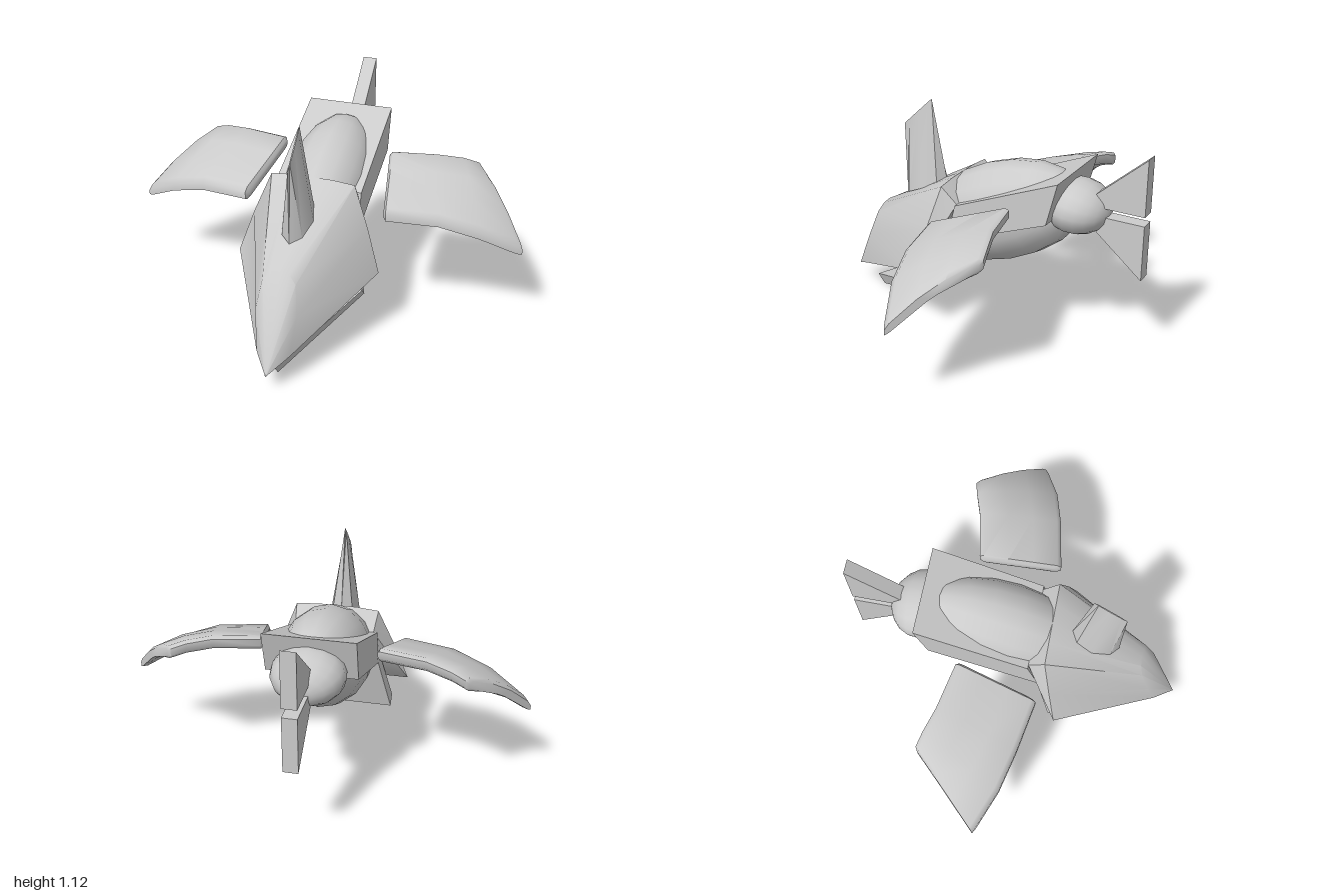
import * as THREE from 'three';
import { toCreasedNormals } from 'three/addons/utils/BufferGeometryUtils.js';

const material = new THREE.MeshStandardMaterial({ color: 0xcccccc });

// Skin a row of closed rings of [x, y, z] points and cap both ends.
function loft(name, rings, crease = 0.3) {
  const pos = [];
  const n = rings[0].length;
  const tri = (...pts) => pts.forEach((p) => pos.push(...p));
  const middle = (ring) => [0, 1, 2].map((k) => ring.reduce((s, p) => s + p[k], 0) / n);
  const first = rings[0], last = rings[rings.length - 1];
  const c0 = middle(first), c1 = middle(last);
  for (let j = 0; j < n; j++) {
    const k = (j + 1) % n;
    for (let i = 0; i < rings.length - 1; i++) {
      const a = rings[i], b = rings[i + 1];
      tri(a[j], a[k], b[k]);
      tri(a[j], b[k], b[j]);
    }
    tri(c0, first[k], first[j]);
    tri(c1, last[j], last[k]);
  }
  const g = new THREE.BufferGeometry();
  g.setAttribute('position', new THREE.Float32BufferAttribute(pos, 3));
  const mesh = new THREE.Mesh(toCreasedNormals(g, crease), material);
  mesh.name = name;
  return mesh;
}

// Plate with a [z, y] side outline and half width w.
const prism = (name, outline, w) =>
  loft(name, [-w, w].map((x) => outline.map(([z, y]) => [x, y, z])));

// Mirror half a ring (+x side, bottom to centre) into a full one.
const fullRing = (half) =>
  [...half.map(([x, y, z]) => [-x, y, z]), ...half.slice(0, -1).reverse()];

function ellipsoid(name, [rx, ry, rz], [y, z], tilt) {
  const g = new THREE.SphereGeometry(1, 16, 10).rotateX(Math.PI / 2).scale(rx, ry, rz);
  const mesh = new THREE.Mesh(g, material);
  mesh.position.set(0, y, z);
  mesh.rotation.x = tilt;
  mesh.name = name;
  return mesh;
}

// Wing: front and rear edge points per station, rounded section between them.
function wing(name, side) {
  const stations = [
    [[0.345, 0.615, 0.115], [0.275, 0.745, -0.25], 0.018, 0],
    [[0.36, 0.612, 0.135], [0.285, 0.75, -0.265], 0.034, 0],
    [[0.61, 0.6, 0.09], [0.51, 0.748, -0.31], 0.034, 0.01],
    [[0.8, 0.54, 0.04], [0.63, 0.73, -0.35], 0.034, 0.02],
    [[0.975, 0.445, -0.04], [0.7, 0.705, -0.37], 0.034, 0.035],
    [[1.0, 0.432, -0.055], [0.72, 0.695, -0.36], 0.022, 0.035],
  ];
  const chord = [[0, 0.55], [0.05, 1], [0.35, 1], [0.65, 1], [0.95, 1], [1, 0.55]];
  const rings = stations.map(([front, rear, half, bow]) => {
    const point = (u, h) => {
      const p = new THREE.Vector3(...rear).lerp(new THREE.Vector3(...front), u);
      return [side * p.x, p.y + h * half + bow * 4 * u * (1 - u), p.z];
    };
    const ring = [
      ...chord.map(([u, h]) => point(u, h)),
      ...chord.slice().reverse().map(([u, h]) => point(u, -h)),
    ];
    return side > 0 ? ring : ring.reverse();
  });
  return loft(name, rings, 0.9);
}

export function createModel() {
  const group = new THREE.Group();

  // Head: pointed beak, broad cheeks, notch behind the brow
  const head = loft('head', [
    fullRing(Array.from({ length: 5 }, () => [0, 0.09, 0.83])),
    fullRing([[0.08, 0.15, 0.73], [0.1, 0.34, 0.68], [0.08, 0.48, 0.63], [0.045, 0.52, 0.615], [0, 0.53, 0.61]]),
    fullRing([[0.36, 0.36, 0.23], [0.29, 0.57, 0.19], [0.21, 0.77, 0.15], [0.1, 0.78, 0.15], [0, 0.78, 0.15]]),
    fullRing([[0.36, 0.36, 0.23], [0.27, 0.54, 0.14], [0.2, 0.69, 0.07], [0.1, 0.69, 0.07], [0, 0.69, 0.07]]),
  ], 0.75);

  // Crest: hexagonal base drawn up into a sharp sloping edge
  const base = [[0, 0.49], [0.05, 0.45], [0.075, 0.36], [0.05, 0.28], [0, 0.25],
    [-0.05, 0.28], [-0.075, 0.36], [-0.05, 0.45]];
  const crest = loft('crest', [
    base.map(([x, z]) => [x, 0.6 + (0.49 - z) * 0.5, z]),
    base.map(([x, z]) => {
      const t = (0.49 - z) / 0.24;
      return [x * 0.04, 0.97 + 0.155 * t, 0.495 - 0.165 * t];
    }),
  ], 0.6);

  // Lower jaw and the plate that hangs it from the body
  const jaw = loft('lowerJaw', [
    [[0, 0, 0.67], [0.28, 0.2, 0.19], [-0.28, 0.2, 0.19]],
    [[0, 0.05, 0.71], [0.28, 0.245, 0.235], [-0.28, 0.245, 0.235]],
  ]);
  const strut = loft('jawStrut', [
    [[0.28, 0.245, 0.235], [0.28, 0.2, 0.19], [-0.28, 0.2, 0.19], [-0.28, 0.245, 0.235]],
    [[0.2, 0.62, 0.13], [0.2, 0.59, 0.095], [-0.2, 0.59, 0.095], [-0.2, 0.62, 0.13]],
  ]);

  // Body: tilted slab around an egg-shaped core, with a rounded rump
  const slab = prism('backSlab', [[-0.475, 0.915], [0.07, 0.69], [0.12, 0.49], [-0.42, 0.7]], 0.22);
  const body = ellipsoid('body', [0.22, 0.25, 0.46], [0.62, -0.08], 0.38);
  const rump = ellipsoid('rump', [0.178, 0.13, 0.165], [0.735, -0.48], -0.15);

  // Tail fins
  const upperFin = prism('upperTailFin', [[-0.83, 1.04], [-0.575, 0.815], [-0.63, 0.76], [-0.83, 0.76]], 0.036);
  const lowerFin = prism('lowerTailFin', [[-0.83, 0.715], [-0.63, 0.715], [-0.58, 0.645], [-0.83, 0.435]], 0.036);

  group.add(head, crest, jaw, strut, slab, body, rump, upperFin, lowerFin,
    wing('leftWing', 1), wing('rightWing', -1));
  return group;
}
